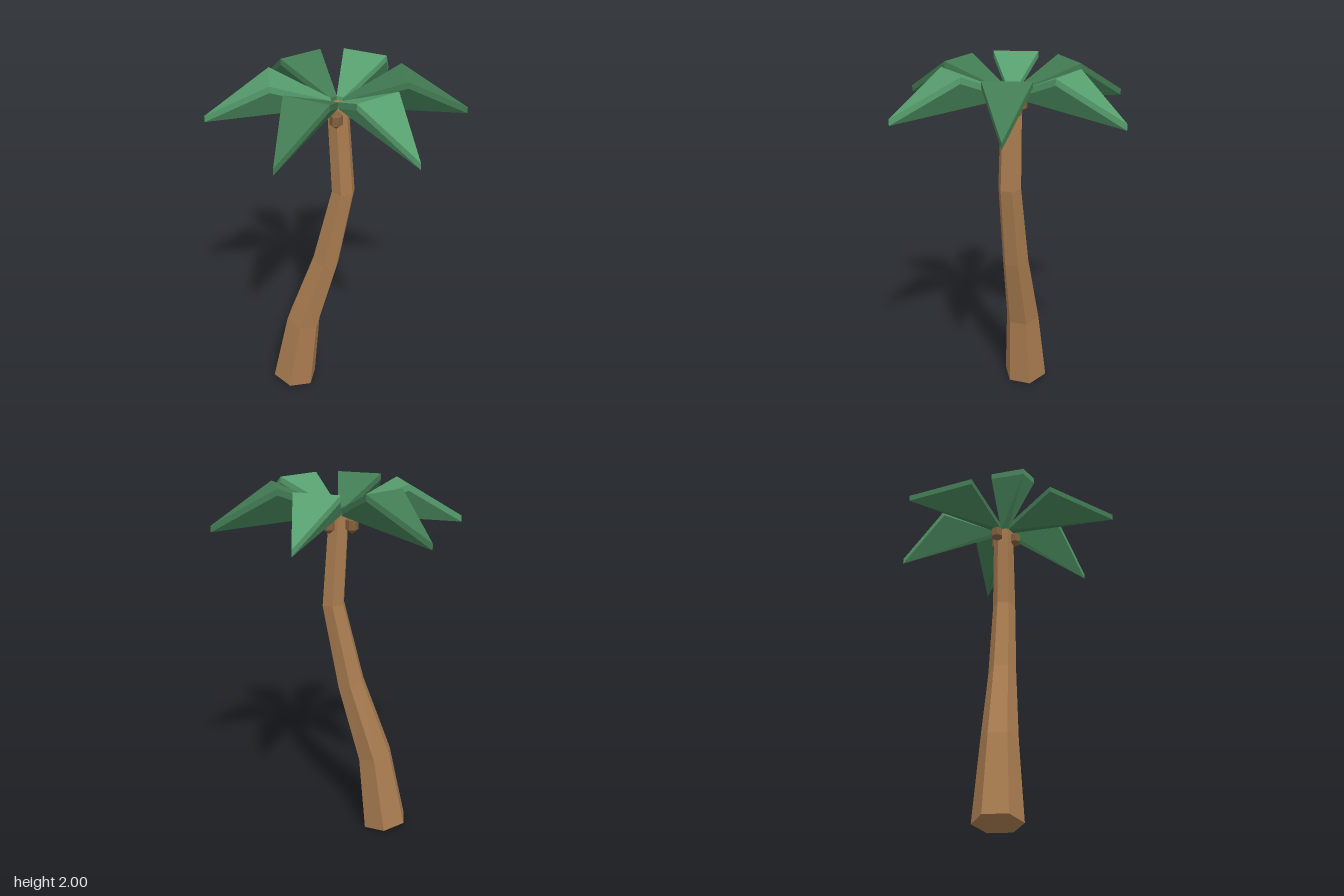
import * as THREE from 'three';

const mat = (name, color) => {
  const m = new THREE.MeshStandardMaterial({ color, flatShading: true });
  m.name = name;
  return m;
};

// Flat-faced geometry from a list of triangles
function solid(triangles) {
  const g = new THREE.BufferGeometry().setFromPoints(triangles.flat());
  g.computeVertexNormals();
  return g;
}

// Closed solid through cross-sections (each counter-clockwise seen from the far end)
function loft(rings) {
  const tris = [];
  const n = rings[0].length;
  for (let i = 0; i < rings.length - 1; i++) {
    for (let j = 0; j < n; j++) {
      const k = (j + 1) % n;
      const a = rings[i][j], b = rings[i][k], c = rings[i + 1][k], d = rings[i + 1][j];
      tris.push([a, b, c], [a, c, d]);
    }
  }
  const first = rings[0], last = rings[rings.length - 1];
  for (let j = 1; j < n - 1; j++) {
    tris.push([first[0], first[j + 1], first[j]], [last[0], last[j], last[j + 1]]);
  }
  return solid(tris);
}

// Leaf along +x: rises to a wide fold, drops to a pointed tip, with a keel below from root to tip
function leafShape() {
  const t = 0.033;
  const v = (x, y, z) => new THREE.Vector3(x, y, z);
  const tip = v(0.663, 1.803, 0), tipLow = v(0.663, 1.803 - t, 0);
  const [rootL, rootR] = [-0.02, 0.02].map((z) => v(0.033, 1.87, z));
  const [foldL, foldR] = [-0.122, 0.122].map((z) => v(0.334, 2, z));
  const low = (p) => v(p.x, p.y - t, p.z);
  const tris = [
    [rootL, rootR, foldR], [rootL, foldR, foldL], [foldL, foldR, tip],
    [low(rootL), tipLow, low(rootR)],
    [low(rootL), low(foldL), tipLow], [low(rootR), tipLow, low(foldR)],
  ];
  // Rim and root end
  const outline = [rootR, rootL, foldL, tip, foldR];
  outline.forEach((a, i) => {
    const b = outline[(i + 1) % outline.length];
    tris.push([a, b, low(b)], [a, low(b), low(a)]);
  });
  return solid(tris);
}

export function createModel() {
  const palm = new THREE.Group();
  palm.name = 'palmTree';
  const bark = mat('barkBrown', 0xa97c50);
  const nutBrown = mat('coconutBrown', 0x83603c);
  const greens = [mat('darkLeafGreen', 0x427b53), mat('lightLeafGreen', 0x579f6e)];

  const add = (parent, name, geometry, material) => {
    const mesh = new THREE.Mesh(geometry, material);
    mesh.name = name;
    parent.add(mesh);
    return mesh;
  };

  // Bent six-sided trunk: centre x, centre y, radius, rise per unit x of each tilted ring
  const trunkRings = [
    [-0.268, 0.018, 0.13, -0.16],
    [-0.203, 0.455, 0.099, -0.22],
    [-0.066, 0.892, 0.076, -0.33],
    [0.032, 1.352, 0.064, -0.09],
    [0.002, 1.85, 0.057, 0.05],
  ].map(([cx, cy, r, slope]) =>
    Array.from({ length: 6 }, (_, j) => {
      const t = Math.PI / 6 + (j * Math.PI) / 3;
      const dx = r * Math.cos(t);
      return new THREE.Vector3(cx + dx, cy + dx * slope, -r * Math.sin(t));
    }));
  add(palm, 'trunk', loft(trunkRings), bark);

  // Six leaves in alternating greens
  const leafGeometry = leafShape();
  const leaves = new THREE.Group();
  leaves.name = 'leaves';
  palm.add(leaves);
  for (let i = 0; i < 6; i++) {
    add(leaves, 'leaf', leafGeometry, greens[i % 2]).rotation.y = Math.PI / 12 + (i * Math.PI) / 3;
  }

  // Three faceted coconuts around the top of the trunk
  const nutGeometry = new THREE.SphereGeometry(0.039, 6, 3).scale(1, 1.25, 1);
  const nuts = new THREE.Group();
  nuts.name = 'coconuts';
  palm.add(nuts);
  for (const [x, z] of [[0.007, 0.068], [-0.068, -0.03], [0.05, -0.042]]) {
    const nut = add(nuts, 'coconut', nutGeometry, nutBrown);
    nut.position.set(x, 1.79, z);
    nut.rotation.y = Math.atan2(x, z);
  }
  return palm;
}
